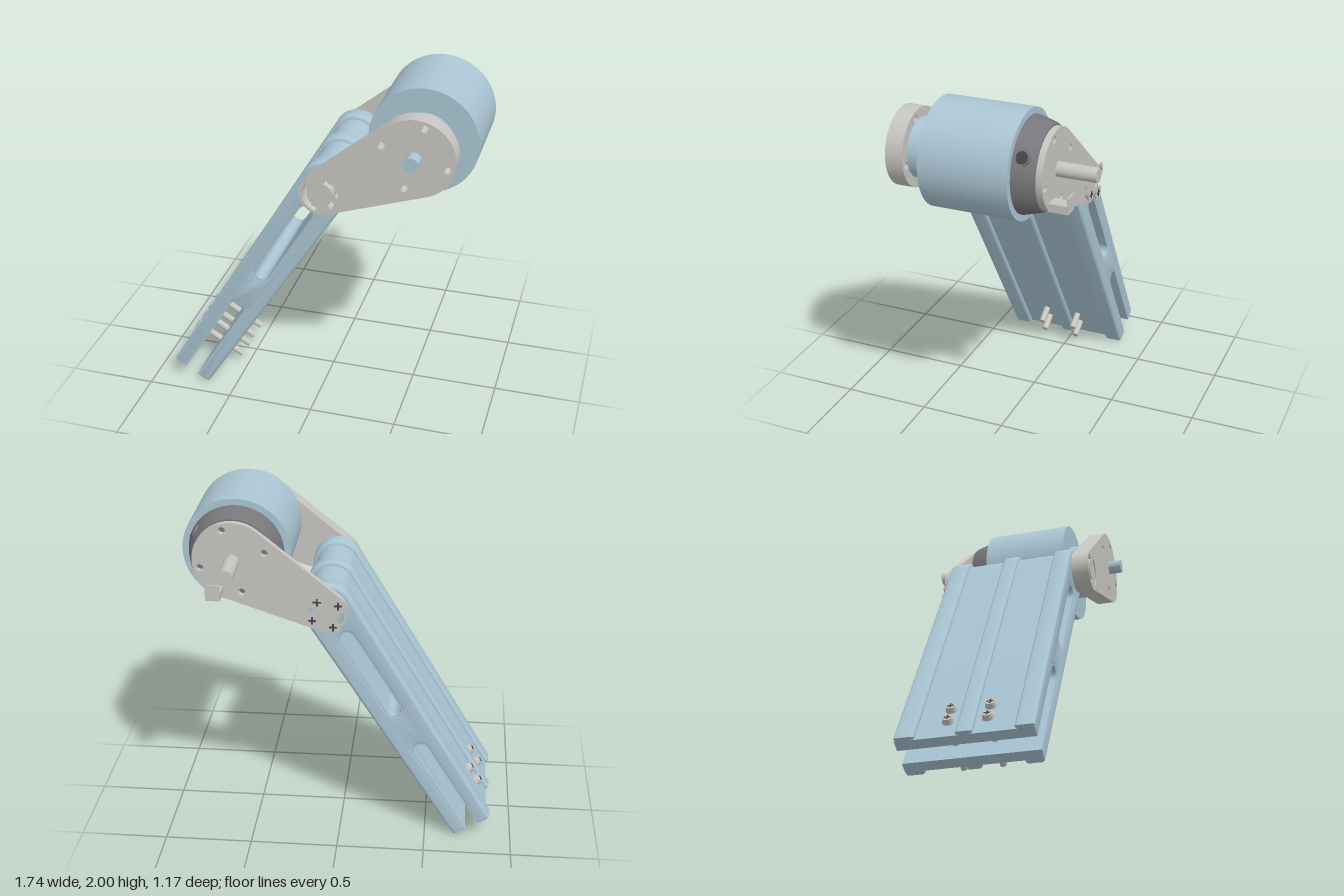
import * as THREE from 'three';
import { toCreasedNormals } from 'three/addons/utils/BufferGeometryUtils.js';

const mat = (name, color) => Object.assign(new THREE.MeshStandardMaterial({ color }), { name });
const PIVOT = [0.065, 1.427], MOTOR = [0.567, 1.705];
const DEG = Math.PI / 180;

export function createModel() {
  const blue = mat('pale blue', 0xaac5d3);
  const grey = mat('light grey', 0xc6c5c1);
  const dark = mat('dark grey', 0x77777b);
  const black = mat('charcoal', 0x46464a);
  const model = new THREE.Group();
  model.name = 'motorArm';

  const add = (parent, name, geo, material, x = 0, y = 0, z = 0) => {
    const m = new THREE.Mesh(geo, material);
    m.name = name;
    m.position.set(x, y, z);
    parent.add(m);
    return m;
  };
  // Extrude a shape from z0 to z1, with optional rounded rim inside the outline
  const slab = (shape, z0, z1, b = 0) => {
    const g = new THREE.ExtrudeGeometry(shape, {
      depth: z1 - z0 - 2 * b, curveSegments: 24, bevelEnabled: b > 0,
      bevelSize: b, bevelThickness: b, bevelOffset: -b, bevelSegments: 4,
    });
    g.translate(0, 0, z0 + b);
    return toCreasedNormals(g, 0.6);
  };
  // Cylinder along z
  const rod = (parent, name, material, x, y, z0, z1, r0, r1 = r0) => {
    const g = new THREE.CylinderGeometry(r1, r0, z1 - z0, 48);
    g.rotateX(Math.PI / 2);
    return add(parent, name, g, material, x, y, (z0 + z1) / 2);
  };

  // Arm: tapered, forked strip with a long slot, extruded sideways
  const arm = new THREE.Group();
  arm.name = 'arm';
  arm.position.set(PIVOT[0], PIVOT[1], 0);
  arm.rotation.z = -31.6 * DEG;
  model.add(arm);
  const SLOT = 0.042, END = -1.6;
  const armShape = (inset) => {
    const top = 0.143 - inset, low = 0.121 - inset;
    const s = new THREE.Shape();
    s.moveTo(-low, END);
    s.lineTo(-SLOT, END);
    s.lineTo(-SLOT, -1.015);
    s.absarc(0, -1.015, SLOT, Math.PI, 0, true);
    s.lineTo(SLOT, END);
    s.lineTo(low, END);
    s.lineTo(top, 0);
    s.absarc(0, 0, top, 0, Math.PI, false);
    s.closePath();
    const h = new THREE.Path();
    h.absarc(0, -0.21, SLOT, 0, Math.PI, false);
    h.absarc(0, -0.709, SLOT, Math.PI, 2 * Math.PI, false);
    h.closePath();
    s.holes.push(h);
    return s;
  };
  add(arm, 'armCore', slab(armShape(0.022), -0.327, 0.402), blue);
  for (const [z0, z1] of [[-0.33, -0.22], [-0.007, 0.083], [0.3, 0.405]])
    add(arm, 'armRib', slab(armShape(0), z0, z1, 0.018), blue);

  // Clamping screws through the forked end
  for (const y of [-1.385, -1.48]) for (const z of [-0.062, 0.147]) {
    const screw = new THREE.Group();
    screw.name = 'clampScrew';
    screw.position.set(0, y, z);
    screw.rotation.z = Math.PI / 2; // local +y points to the head
    arm.add(screw);
    add(screw, 'shank', new THREE.CylinderGeometry(0.019, 0.019, 0.31, 20), grey, 0, -0.05);
    add(screw, 'head', new THREE.CylinderGeometry(0.024, 0.034, 0.03, 24), grey, 0, 0.114);
    for (const s of [[0.034, 0.008], [0.008, 0.034]])
      add(screw, 'headCross', new THREE.BoxGeometry(s[0], 0.002, s[1]), black, 0, 0.1295);
  }

  // Teardrop side plates around the pivot and the motor axis
  const screwAngles = [142, 56, -28, -118];
  const plateShape = () => {
    const r = 0.116, R = 0.218;
    const dx = MOTOR[0] - PIVOT[0], dy = MOTOR[1] - PIVOT[1];
    const a = Math.atan2(dy, dx), t = Math.acos((r - R) / Math.hypot(dx, dy));
    const s = new THREE.Shape();
    s.absarc(...MOTOR, R, a - t, a + t, false);
    s.absarc(...PIVOT, r, a + t, a - t + 2 * Math.PI, false);
    s.closePath();
    for (const deg of [163, 74, -13, -105]) {
      const h = new THREE.Path();
      h.absarc(MOTOR[0] + 0.181 * Math.cos(deg * DEG), MOTOR[1] + 0.181 * Math.sin(deg * DEG),
        0.02, 0, 2 * Math.PI, false);
      s.holes.push(h);
    }
    // Two curved adjustment slots
    for (const [a0, a1] of [[-50, 74], [126, 256]]) {
      const h = new THREE.Path();
      h.absarc(...PIVOT, 0.1, a0 * DEG, a1 * DEG, false);
      h.absarc(...PIVOT, 0.07, a1 * DEG, a0 * DEG, true);
      h.closePath();
      s.holes.push(h);
    }
    return s;
  };
  add(model, 'frontPlate', slab(plateShape(), 0.408, 0.507), grey);
  add(model, 'backPlate', slab(plateShape(), -0.368, -0.333), grey);

  // Countersunk pivot screws on the back, with their tips in the front slots
  for (const deg of screwAngles) {
    const x = PIVOT[0] + 0.084 * Math.cos(deg * DEG), y = PIVOT[1] + 0.084 * Math.sin(deg * DEG);
    rod(model, 'pivotScrewShank', grey, x, y, -0.37, -0.32, 0.018);
    rod(model, 'pivotScrewHead', grey, x, y, -0.395, -0.36, 0.042, 0.018);
    for (const s of [[0.044, 0.01], [0.01, 0.044]])
      add(model, 'pivotScrewCross', new THREE.BoxGeometry(...s, 0.002), black, x, y, -0.3955);
    rod(model, 'pivotScrewTip', grey, x, y, 0.4, 0.47, 0.02);
  }

  // Motor: can, front collar, tapered rear cap and shaft
  rod(model, 'motorCan', blue, ...MOTOR, -0.213, 0.283, 0.297);
  rod(model, 'motorCollar', blue, ...MOTOR, 0.28, 0.409, 0.164);
  const cap = new THREE.LatheGeometry(
    [[0, 0], [0.262, 0], [0.258, 0.02], [0.236, 0.1], [0.225, 0.118], [0, 0.118]]
      .map(p => new THREE.Vector2(...p)), 48);
  cap.rotateX(-Math.PI / 2);
  add(model, 'motorRearCap', toCreasedNormals(cap, 0.5), dark, ...MOTOR, -0.214);
  rod(model, 'frontShaft', blue, ...MOTOR, 0.5, 0.583, 0.04);
  rod(model, 'rearShaft', grey, ...MOTOR, -0.587, -0.36, 0.04);

  // Cable port on the side of the rear cap
  const port = new THREE.Group();
  port.name = 'cablePort';
  port.position.set(MOTOR[0], MOTOR[1], -0.262);
  port.rotation.z = 30 * DEG - Math.PI / 2;
  model.add(port);
  add(port, 'portSleeve', new THREE.CylinderGeometry(0.042, 0.042, 0.05, 24), dark, 0, 0.23);
  add(port, 'portOpening', new THREE.CylinderGeometry(0.033, 0.033, 0.004, 24), black, 0, 0.256);

  // Small angled stop beside the rear shaft
  add(model, 'stopBlock', new THREE.BoxGeometry(0.08, 0.045, 0.11), grey, 0.66, 1.543, -0.42);
  add(model, 'stopLip', new THREE.BoxGeometry(0.08, 0.09, 0.008), grey, 0.66, 1.565, -0.472);
  return model;
}
